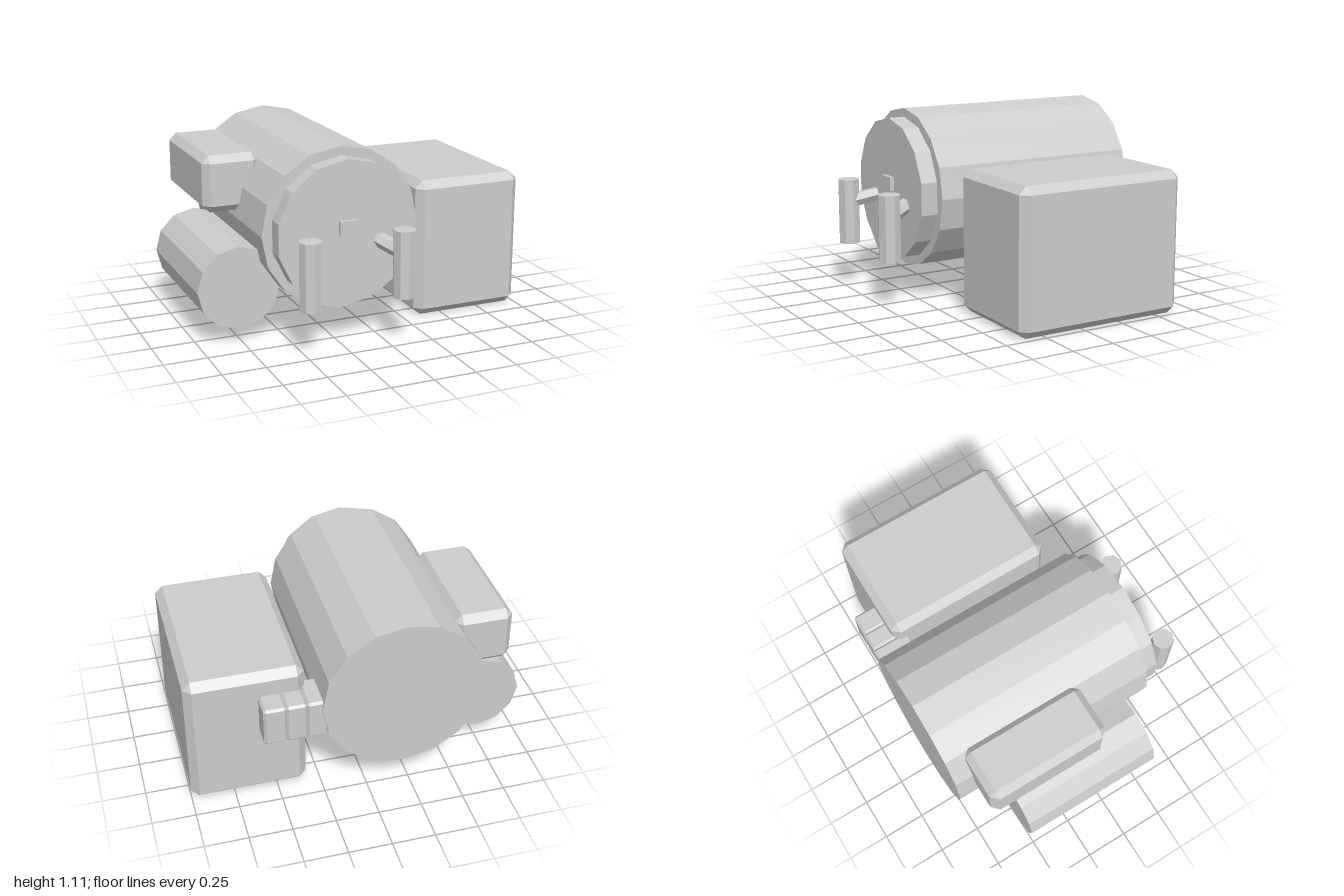
import * as THREE from 'three';
import { ConvexGeometry } from 'three/addons/geometries/ConvexGeometry.js';

const grey = new THREE.MeshStandardMaterial({ color: 0xcccccc, flatShading: true });
grey.name = 'plain grey';

// Box between two corners, with every edge cut by a chamfer c
function chamferBox([x0, y0, z0], [x1, y1, z1], c) {
  const half = [(x1 - x0) / 2, (y1 - y0) / 2, (z1 - z0) / 2];
  const points = [];
  for (const sx of [-1, 1]) for (const sy of [-1, 1]) for (const sz of [-1, 1]) {
    for (let axis = 0; axis < 3; axis++) {
      const h = half.map((v, i) => (i === axis ? v : v - c));
      points.push(new THREE.Vector3(sx * h[0], sy * h[1], sz * h[2]));
    }
  }
  return new ConvexGeometry(points).translate((x0 + x1) / 2, (y0 + y1) / 2, (z0 + z1) / 2);
}

// Cylinder lying along z
function drum(x, y, z0, z1, radius, sides) {
  return new THREE.CylinderGeometry(radius, radius, z1 - z0, sides)
    .rotateX(Math.PI / 2).translate(x, y, (z0 + z1) / 2);
}

// Rod between two points
function rod(a, b, radius, sides) {
  const from = new THREE.Vector3(...a), to = new THREE.Vector3(...b);
  const dir = to.clone().sub(from);
  const mid = from.clone().add(to).multiplyScalar(0.5);
  const turn = new THREE.Quaternion().setFromUnitVectors(new THREE.Vector3(0, 1, 0), dir.clone().normalize());
  return new THREE.CylinderGeometry(radius, radius, dir.length(), sides)
    .applyQuaternion(turn).translate(mid.x, mid.y, mid.z);
}

export function createModel() {
  const model = new THREE.Group();
  const add = (name, geometry) => {
    const mesh = new THREE.Mesh(geometry, grey);
    mesh.name = name;
    model.add(mesh);
  };
  const cx = -0.2, cy = 0.64;

  // Main body and its stepped front
  add('mainDrum', drum(cx, cy, -0.79, 0.48, 0.47, 16));
  add('frontCover', drum(cx, cy, 0.47, 0.58, 0.418, 14));
  add('frontPlate', new THREE.BoxGeometry(0.11, 0.08, 0.045).translate(cx, 0.675, 0.583));

  // Upright grips on slanted arms
  for (const side of [-1, 1]) {
    const x = cx + side * 0.28;
    add('gripArm', rod([cx + side * 0.36 - side * 0.2, 0.595, 0.5], [x, 0.528, 0.72], 0.044, 6));
    add('grip', new THREE.CylinderGeometry(0.066, 0.066, 0.39, 8).translate(x, 0.47, 0.72));
  }

  // Side tank with a short bracket to the body
  add('sideTank', drum(-0.76, 0.32, -0.515, 0.35, 0.242, 12));
  add('tankBracket', new THREE.BoxGeometry(0.3, 0.14, 0.2)
    .rotateZ(0.52).translate(-0.61, 0.46, -0.1));

  // Chamfered cases
  add('smallCase', chamferBox([-0.86, 0.68, -0.68], [-0.52, 1.013, 0.065], 0.042));
  add('largeCase', chamferBox([0.325, 0, -0.64], [1, 0.825, 0.4], 0.045));

  // Segmented link between the body and the large case
  [0.235, 0.35, 0.465].forEach((x, i) => {
    add('linkSegment', chamferBox([x, 0.445, -0.775], [x + (i < 2 ? 0.117 : 0.13), 0.683, -0.55], 0.013));
  });
  return model;
}
